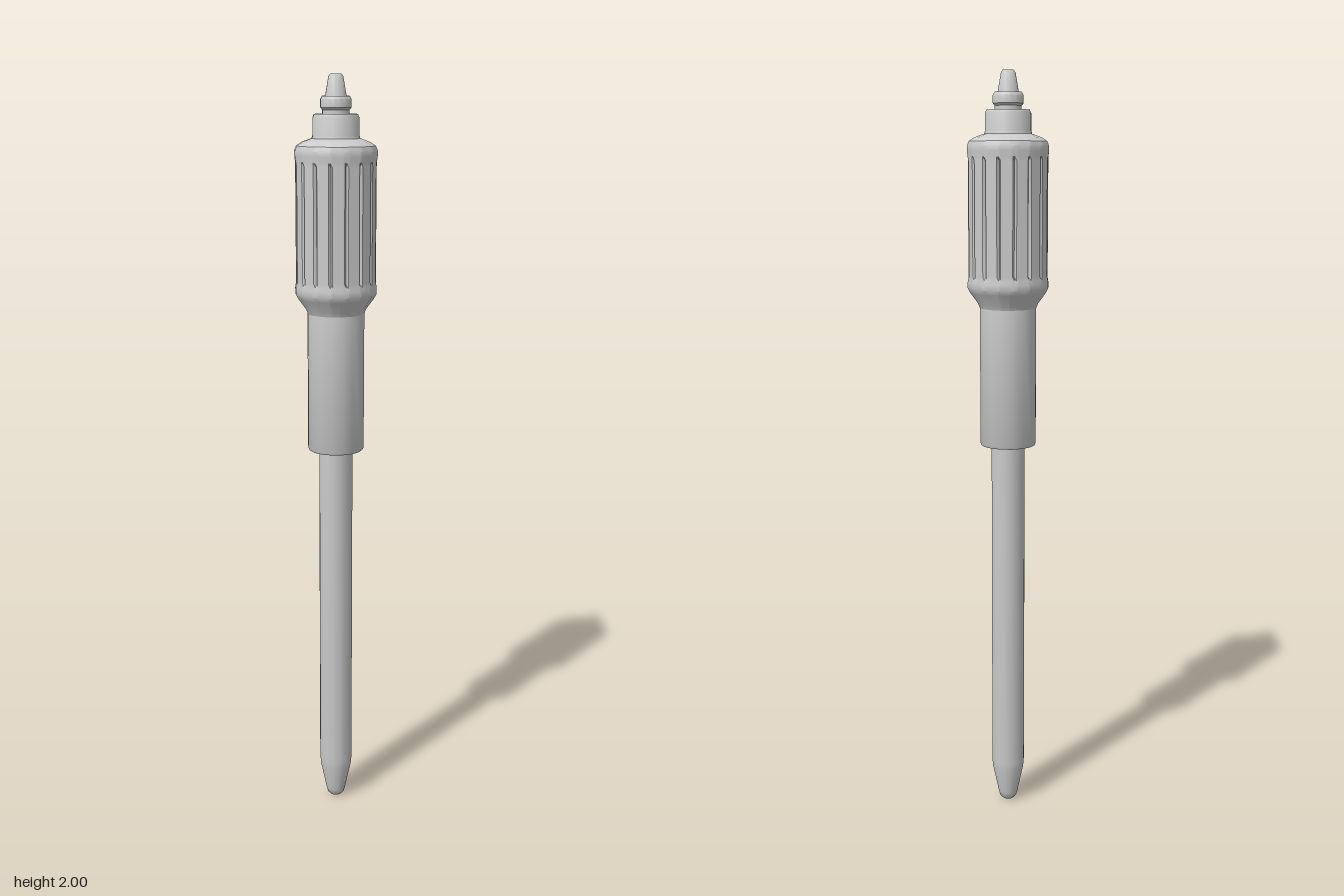
import * as THREE from 'three';
import { toCreasedNormals } from 'three/addons/utils/BufferGeometryUtils.js';

const SIDES = 16;
const material = new THREE.MeshStandardMaterial({ color: 0xcccccc });

// Turned part from [radius, height] pairs, listed bottom to top
function lathe(profile, segments = SIDES) {
  return new THREE.LatheGeometry(profile.map(([r, y]) => new THREE.Vector2(r, y)), segments);
}

function addPart(group, name, geometry, crease = 0.65) {
  const mesh = new THREE.Mesh(toCreasedNormals(geometry, crease), material);
  mesh.name = name;
  group.add(mesh);
}

// Sixteen-sided handle with a narrow groove cut along every corner
function gripGeometry() {
  const perSide = 8;
  const geometry = lathe([
    [0.074, 1.395], [0.08, 1.41], [0.1, 1.437], [0.107, 1.45], [0.107, 1.465],
    [0.105, 1.475], [0.105, 1.485], [0.105, 1.775], [0.105, 1.785],
    [0.107, 1.8], [0.107, 1.812], [0.102, 1.824], [0.088, 1.833], [0.064, 1.842], [0.058, 1.842],
  ], SIDES * perSide);
  const pos = geometry.attributes.position;
  const step = (Math.PI * 2) / SIDES;
  const rows = pos.count / (SIDES * perSide + 1);
  for (let i = 0; i < pos.count; i++) {
    const column = Math.floor(i / rows) % perSide;
    const angle = column * step / perSide - step / 2;
    let scale = Math.cos(step / 2) / Math.cos(angle);
    const y = pos.getY(i);
    if (column === 0 && y > 1.48 && y < 1.78) scale *= 0.92;
    pos.setXYZ(i, pos.getX(i) * scale, y, pos.getZ(i) * scale);
  }
  return geometry;
}

export function createModel() {
  const model = new THREE.Group();
  model.name = 'pencil';

  // Slim shaft with a tapered, rounded end
  addPart(model, 'shaft', lathe([
    [0, 0], [0.015, 0.002], [0.023, 0.01], [0.027, 0.025], [0.043, 0.1], [0.045, 0.12], [0.045, 1.05],
  ]));

  // Plain sleeve below the grip
  addPart(model, 'sleeve', lathe([
    [0.04, 1.03], [0.072, 1.03], [0.075, 1.036], [0.075, 1.395], [0.074, 1.41],
  ]));

  addPart(model, 'grip', gripGeometry(), 0.5);

  // Stepped collars above the grip
  addPart(model, 'neck', lathe([
    [0.064, 1.838], [0.06, 1.85], [0.06, 1.893], [0.056, 1.902], [0, 1.902],
  ]));
  addPart(model, 'collar', lathe([
    [0.035, 1.9], [0.035, 1.912], [0.04, 1.918], [0.04, 1.938], [0.035, 1.946], [0, 1.946],
  ]));

  // Tapered point
  addPart(model, 'tip', lathe([
    [0.028, 1.942], [0.019, 1.993], [0.014, 2], [0, 2],
  ]));

  return model;
}
